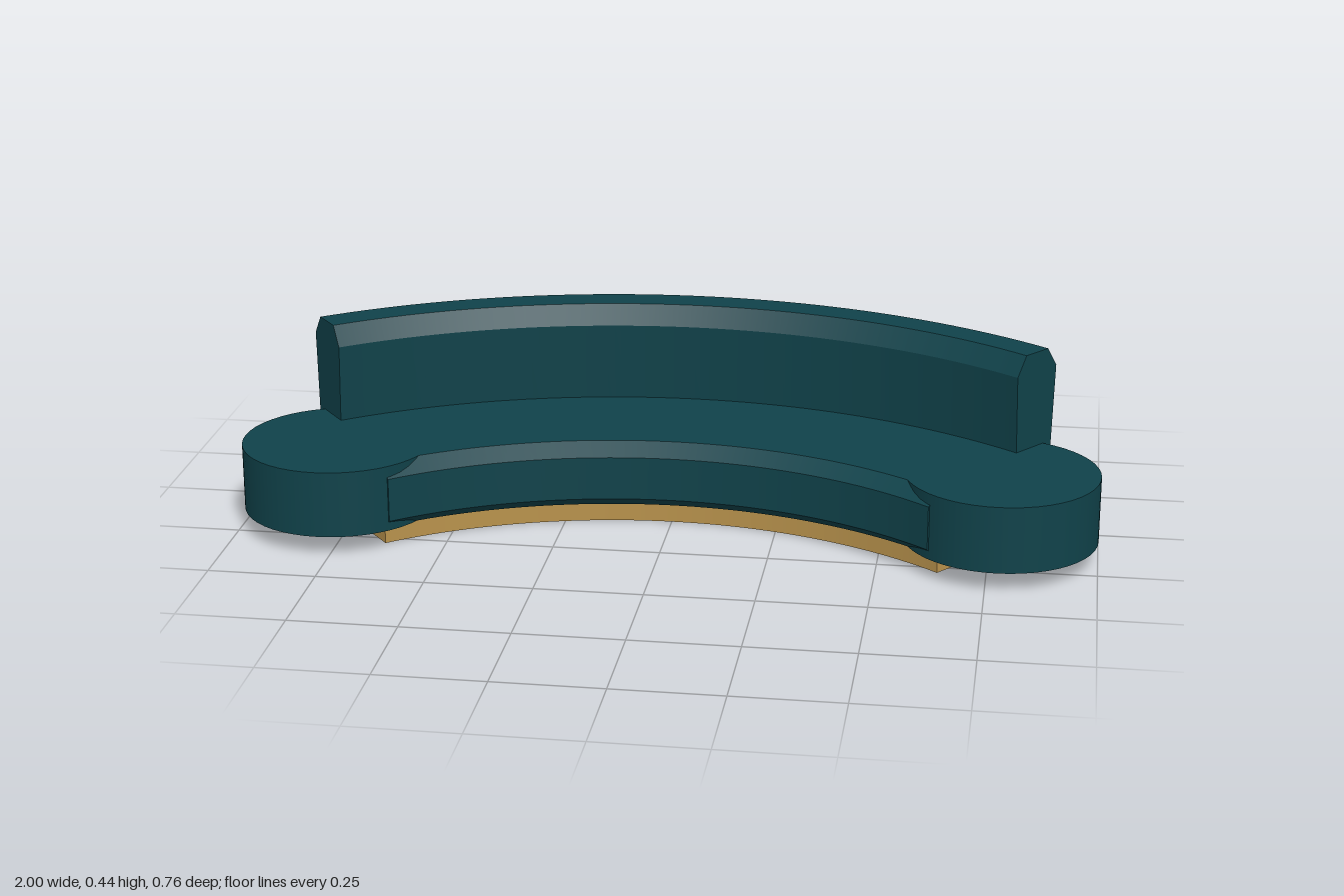
import * as THREE from 'three';
import { mergeGeometries } from 'three/addons/utils/BufferGeometryUtils.js';

const CENTRE_Z = 1.065; // centre of all the arcs

// Sweeps a closed [radius, y] profile (counter-clockwise) along an arc, with crisp edges and flat ends.
function arcSweep(profile, halfAngleDeg) {
  const half = THREE.MathUtils.degToRad(halfAngleDeg);
  const start = Math.PI - half, end = Math.PI + half;
  const pts = profile.map(([r, y]) => new THREE.Vector2(r, y));
  const parts = pts.map((p, i) =>
    new THREE.LatheGeometry([p, pts[(i + 1) % pts.length]], 48, start, half * 2));
  const startCap = new THREE.ShapeGeometry(new THREE.Shape(pts));
  startCap.rotateY(start - Math.PI / 2);
  const mirrored = pts.map((p) => new THREE.Vector2(-p.x, p.y)).reverse();
  const endCap = new THREE.ShapeGeometry(new THREE.Shape(mirrored));
  endCap.rotateY(end + Math.PI / 2);
  const geometry = mergeGeometries([...parts, startCap, endCap]);
  geometry.translate(0, 0, CENTRE_Z);
  return geometry;
}

export function createModel() {
  const group = new THREE.Group();
  const fabric = new THREE.MeshStandardMaterial({ color: 0x10424a });
  fabric.name = 'teal fabric';
  const brass = new THREE.MeshStandardMaterial({ color: 0xb8924c });
  brass.name = 'brass';

  const add = (name, geometry, material) => {
    const mesh = new THREE.Mesh(geometry, material);
    mesh.name = name;
    group.add(mesh);
    return mesh;
  };

  // Recessed plinth
  add('plinth', arcSweep([[1.012, 0], [1.375, 0], [1.375, 0.05], [1.012, 0.05]], 39.2), brass);

  // Curved seat with bevelled edges
  add('seat', arcSweep([
    [0.995, 0.048], [1.395, 0.048], [1.423, 0.07], [1.423, 0.175],
    [1.39, 0.205], [1.002, 0.205], [0.965, 0.175], [0.965, 0.072],
  ], 39.8), fabric);

  // Backrest, slightly flared upwards with a bevelled top
  add('backrest', arcSweep([
    [1.315, 0.15], [1.437, 0.15], [1.447, 0.39],
    [1.414, 0.437], [1.336, 0.437], [1.307, 0.39],
  ], 37.7), fabric);

  // Round seat ends
  for (const side of [1, -1]) {
    const end = add(side > 0 ? 'leftRoundEnd' : 'rightRoundEnd',
      new THREE.CylinderGeometry(0.225, 0.225, 0.157, 48), fabric);
    end.position.set(side * 0.775, 0.1265, 0.157);
  }

  return group;
}
